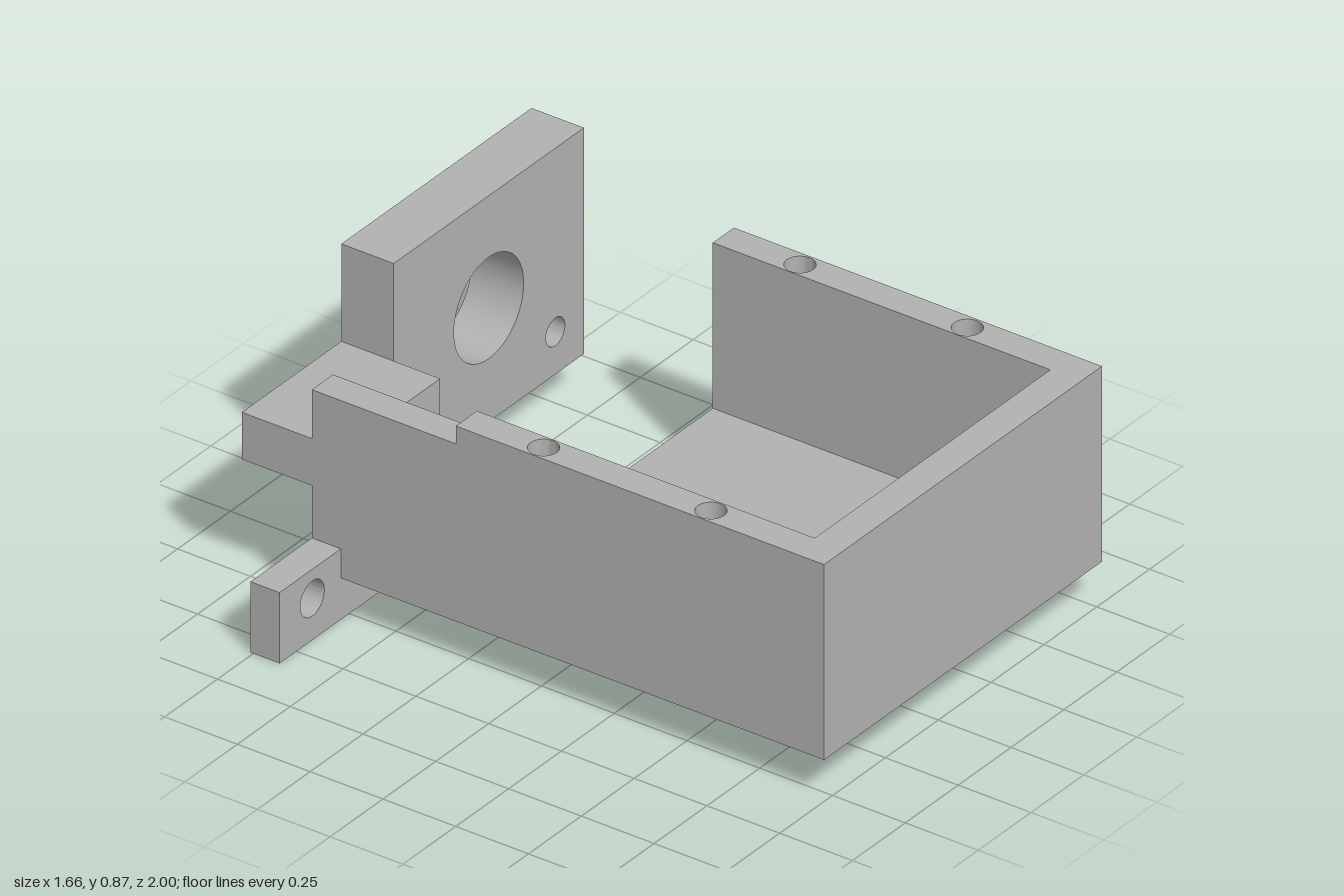
import * as THREE from 'three';
import { toCreasedNormals } from 'three/addons/utils/BufferGeometryUtils.js';

const grey = new THREE.MeshStandardMaterial({ color: 0xb2b2b2 });
grey.name = 'plain grey';

// Closed outline with round holes given as [x, y, radius]
function outline(points, holes = []) {
  const shape = new THREE.Shape(points.map(([x, y]) => new THREE.Vector2(x, y)));
  for (const [x, y, r] of holes) {
    shape.holes.push(new THREE.Path().absarc(x, y, r, 0, Math.PI * 2, true));
  }
  return shape;
}

const rect = (x0, x1, y0, y1) => [[x0, y0], [x1, y0], [x1, y1], [x0, y1]];

function extrude(shape, depth) {
  const geo = new THREE.ExtrudeGeometry(shape, { depth, bevelEnabled: false, curveSegments: 32 });
  return toCreasedNormals(geo, 0.5);
}

// Slab drawn in the xy plane, running from z0 to z1
function slab(name, shape, z0, z1) {
  const mesh = new THREE.Mesh(extrude(shape, z1 - z0).translate(0, 0, z0), grey);
  mesh.name = name;
  return mesh;
}

export function createModel() {
  const group = new THREE.Group();
  group.name = 'trayWithMountingPlates';
  const base = 0.135, left = -0.54, inner = -0.44, back = -0.265;

  // U-shaped tray walls with four vertical screw holes, extruded upward
  const screws = [];
  for (const x of [-0.49, 0.723]) for (const z of [0, 0.575]) screws.push([x, -z, 0.045]);
  const u = outline([
    [left, -1], [0.775, -1], [0.775, -back], [0.675, -back],
    [0.675, -0.895], [inner, -0.895], [inner, -back], [left, -back],
  ], screws);
  const walls = new THREE.Mesh(extrude(u, 0.77 - base).rotateX(-Math.PI / 2).translate(0, base, 0), grey);
  walls.name = 'trayWalls';
  group.add(walls);

  // Tray floor
  group.add(slab('trayFloor', outline(rect(inner, 0.675, base, base + 0.097)), back, 0.895));

  // Lower side wall running back from the tray
  const wallTop = 0.712, boltY = 0.135, boltR = 0.057, boltX = -0.41;
  group.add(slab('rearWall', outline(rect(left, inner, base, wallTop)), -0.625, back));
  group.add(slab('rearWallEnd', outline(rect(left, inner, 0.23, wallTop)), -0.76, -0.66));

  // Short wall section grooved by the bolt hole of the lower bracket
  const groove = [];
  const end = Math.acos((inner - boltX) / boltR);
  for (let i = 0; i <= 8; i++) {
    const a = Math.PI + (end - Math.PI) * i / 8;
    groove.push([boltX + boltR * Math.cos(a), boltY + boltR * Math.sin(a)]);
  }
  group.add(slab('groovedWall', outline([[left, base], ...groove, [inner, wallTop], [left, wallTop]]), -0.66, -0.625));

  // Lower bracket with two bolt holes
  group.add(slab('lowerBracket', outline(rect(-0.83, -0.305, 0, 0.23),
    [[-0.675, boltY, boltR], [boltX, boltY, boltR]]), -0.76, -0.66));

  // Arm joining the rear wall to the back plate
  group.add(slab('arm', outline(rect(left, -0.07, 0.4, 0.553), [[-0.38, 0.477, 0.045]]), -1, -0.66));

  // Back plate with a large bore and two small holes
  group.add(slab('backPlate', outline(rect(-0.07, 0.83, base, 0.87),
    [[0.38, 0.505, 0.165], [0.065, 0.273, 0.045], [0.695, 0.273, 0.045]]), -1, -0.82));

  return group;
}
